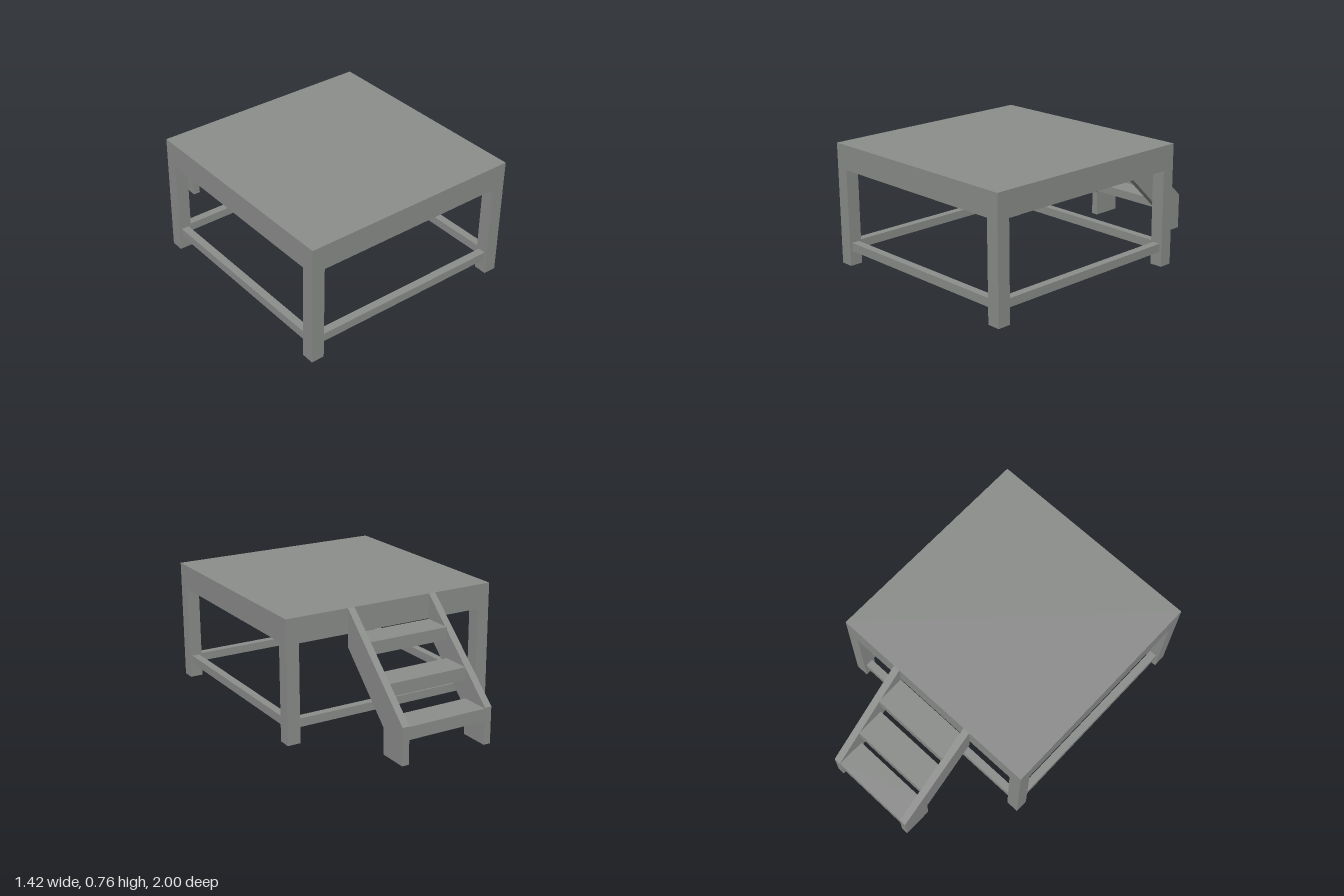
import * as THREE from 'three';

export function createModel() {
  const model = new THREE.Group();
  model.name = 'platformWithSteps';
  const grey = new THREE.MeshStandardMaterial({ color: 0x8c8e8c });
  grey.name = 'grey';

  // Box given by its limits on each axis
  const box = (name, [x0, x1], [y0, y1], [z0, z1]) => {
    const mesh = new THREE.Mesh(new THREE.BoxGeometry(x1 - x0, y1 - y0, z1 - z0), grey);
    mesh.position.set((x0 + x1) / 2, (y0 + y1) / 2, (z0 + z1) / 2);
    mesh.name = name;
    model.add(mesh);
  };

  const X = 0.71, BACK = -0.425, FRONT = 1, TOP = 0.765, RIM = 0.61;
  const SLAB = 0.735, LEG = 0.083, T = 0.042;

  // Deck panel with a hollow rim below it
  box('deckPanel', [-X, X], [SLAB, TOP], [BACK, FRONT]);
  box('frontRim', [-X, X], [RIM, SLAB], [FRONT - T, FRONT]);
  box('backRim', [-X, X], [RIM, SLAB], [BACK, BACK + T]);
  for (const s of [-1, 1]) {
    const x = s * (X - T / 2);
    box('sideRim', [x - T / 2, x + T / 2], [RIM, SLAB], [BACK + T, FRONT - T]);
  }

  // Legs, running up inside the rim to the panel
  const legZ = [BACK + LEG / 2, FRONT - LEG / 2];
  const legX = X - LEG / 2;
  for (const s of [-1, 1]) {
    for (const z of legZ) {
      const out = z > 0 ? 1 : -1;
      box('leg', [s * legX - LEG / 2, s * legX + LEG / 2], [0, RIM], [z - LEG / 2, z + LEG / 2]);
      const cx = s * (X - T - (LEG - T) / 2), cz = z - out * T / 2, h = (LEG - T) / 2;
      box('legTop', [cx - h, cx + h], [RIM, SLAB], [cz - h, cz + h]);
    }
  }

  // Low stretcher rails centred on the legs
  const R = 0.025, railY = [0.093, 0.146];
  for (const z of legZ) box('crossRail', [-X + LEG, X - LEG], railY, [z - R, z + R]);
  for (const s of [-1, 1]) {
    box('sideRail', [s * legX - R, s * legX + R], railY, [BACK + LEG, FRONT - LEG]);
  }

  // Stair stringers: profile drawn as (distance behind centre, height)
  const profile = new THREE.Shape([
    [-BACK, TOP], [-BACK, 0.53], [0.81, 0.162], [0.81, 0], [1, 0], [1, 0.23],
  ].map(([z, y]) => new THREE.Vector2(z, y)));
  const inner = 0.26, thick = 0.045;
  for (const x of [-inner, inner + thick]) {
    const geometry = new THREE.ExtrudeGeometry(profile, { depth: thick, bevelEnabled: false });
    geometry.rotateY(Math.PI / 2); // shape x becomes -z, depth becomes +x
    const stringer = new THREE.Mesh(geometry, grey);
    stringer.position.x = x - thick;
    stringer.name = 'stairStringer';
    model.add(stringer);
  }

  // Treads, each with a deeper lip on the outer edge
  for (let i = 0; i < 3; i++) {
    const top = 0.225 + i * 0.191;
    const z0 = -0.998 + i * 0.192;
    box('tread', [-inner, inner], [top - 0.055, top], [z0, z0 + 0.187]);
    box('treadLip', [-inner, inner], [top - 0.078, top - 0.055], [z0, z0 + 0.03]);
  }
  return model;
}
